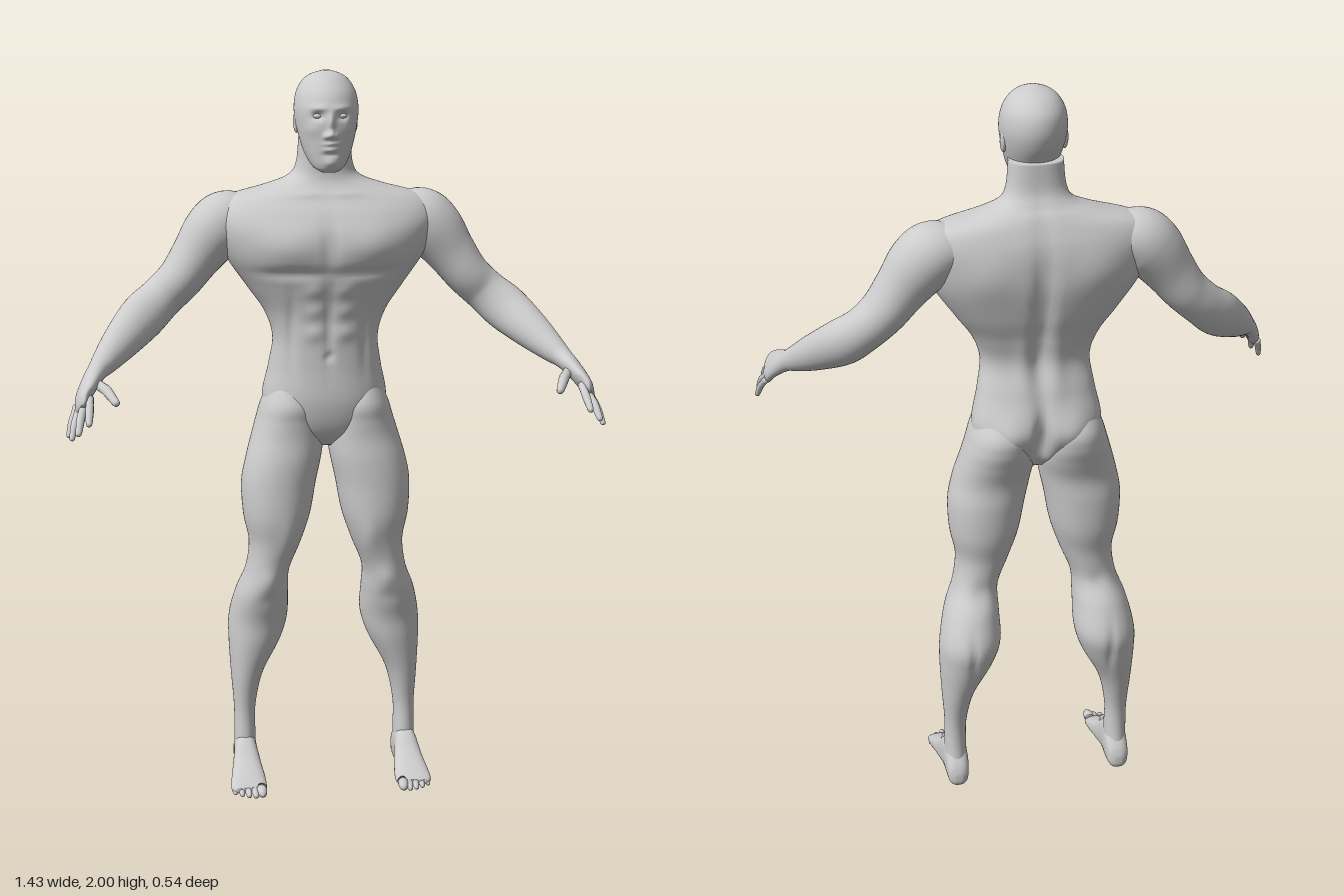
import * as THREE from 'three';

const skin = new THREE.MeshStandardMaterial({ color: 0xcccccc });
skin.name = 'skin';

// Smooth interpolation of key rows, column by column
function sampleRows(rows, t) {
  const n = rows.length - 1;
  const i = Math.min(Math.floor(t), n - 1), f = t - i;
  const at = (k) => rows[Math.max(0, Math.min(n, k))];
  const [a, b, c, d] = [at(i - 1), at(i), at(i + 1), at(i + 2)];
  return b.map((_, k) => b[k] + 0.5 * f * (c[k] - a[k]
    + f * (2 * a[k] - 5 * b[k] + 4 * c[k] - d[k] + f * (3 * (b[k] - c[k]) + d[k] - a[k]))));
}

// Closed skin over interpolated cross-sections; place() gives one ring point
function loft(rows, place, { segs = 40, steps = 6, side = 1 } = {}) {
  const pos = [], index = [], rings = (rows.length - 1) * steps + 1;
  const ends = [new THREE.Vector3(), new THREE.Vector3()];
  for (let r = 0; r < rings; r++) {
    const t = r / steps, row = sampleRows(rows, t);
    const p = sampleRows(rows, Math.max(0, t - 0.05)), q = sampleRows(rows, Math.min(rows.length - 1, t + 0.05));
    const tangent = new THREE.Vector3(q[0] - p[0], q[1] - p[1], q[2] - p[2]).normalize();
    for (let s = 0; s < segs; s++) {
      const a = (s / segs) * Math.PI * 2;
      const v = place(row, Math.cos(a), Math.sin(a), tangent);
      v.x *= side;
      pos.push(v.x, v.y, v.z);
      if (r === 0) ends[0].addScaledVector(v, 1 / segs);
      if (r === rings - 1) ends[1].addScaledVector(v, 1 / segs);
      const s2 = (s + 1) % segs, A = r * segs + s, B = r * segs + s2;
      if (r < rings - 1) index.push(A, B, A + segs, B, B + segs, A + segs);
      if (r === 0) index.push(rings * segs, B, A);
      if (r === rings - 1) index.push(rings * segs + 1, A, B);
    }
  }
  ends.forEach((e) => pos.push(e.x, e.y, e.z));
  // Turn the faces outward if the enclosed volume is negative
  const P = (i) => new THREE.Vector3().fromArray(pos, i * 3);
  let volume = 0;
  for (let i = 0; i < index.length; i += 3) volume += P(index[i]).dot(P(index[i + 1]).cross(P(index[i + 2])));
  if (volume < 0) index.reverse();
  const g = new THREE.BufferGeometry();
  g.setAttribute('position', new THREE.Float32BufferAttribute(pos, 3));
  g.setIndex(index);
  g.computeVertexNormals();
  return g;
}

const spow = (v, e) => Math.sign(v) * Math.abs(v) ** e;

// Upright section [y, xMin, xMax, zFront, zBack] with muscle bumps
// bump: [front 1 / back -1, |x|, y, width, height, amount]
const upright = (bumps, n = 2, mid = 0.5) => ([y, x0, x1, zf, zb], c, s) => {
  const zm = zf * (1 - mid) + zb * mid;
  const x = (x0 + x1) / 2 + ((x1 - x0) / 2) * spow(c, 2 / n);
  let z = zm + (s > 0 ? zf - zm : zm - zb) * spow(s, 2 / n);
  for (const [dir, bx, by, sx, sy, amount] of bumps) {
    const fade = Math.min(1, Math.max(0, s * dir * 2));
    z += dir * fade * amount * Math.exp(-(((Math.abs(x) - bx) / sx) ** 2) - ((y - by) / sy) ** 2);
  }
  return new THREE.Vector3(x, y, z);
};

// Section across a limb path [x, y, z, thickness, width]
const across = ([x, y, z, a, b], c, s, tangent) => {
  const u = new THREE.Vector3().crossVectors(tangent, new THREE.Vector3(0, 0, 1)).normalize();
  const v = new THREE.Vector3().crossVectors(u, tangent);
  return new THREE.Vector3(x, y, z).addScaledVector(u, a * c).addScaledVector(v, b * s);
};

// Foot section [z, xMin, xMax, yBottom, yTop]
const footSection = ([z, x0, x1, y0, y1], c, s) => new THREE.Vector3(
  (x0 + x1) / 2 + ((x1 - x0) / 2) * spow(c, 0.8), (y0 + y1) / 2 + ((y1 - y0) / 2) * spow(s, 0.8), z);

// Rounded finger or toe from base through a joint to the tip
function digit(base, joint, tip, r, side) {
  const A = new THREE.Vector3(...base), B = new THREE.Vector3(...joint), C = new THREE.Vector3(...tip);
  const end = C.clone().sub(B).normalize();
  const row = (v, k) => [v.x, v.y, v.z, r * k, r * k];
  const rows = [row(A, 1), row(A.clone().lerp(B, 0.5), 0.95), row(B, 1), row(B.clone().lerp(C, 0.55), 0.85),
    row(C.clone().addScaledVector(end, -r * 0.4), 0.65), row(C, 0.1)];
  return loft(rows, across, { segs: 12, steps: 3, side });
}

const torsoRows = [
  [0.975, 0.05, -0.09, -0.17], [1.02, 0.14, -0.047, -0.215], [1.1, 0.172, -0.027, -0.245],
  [1.2, 0.155, -0.03, -0.222], [1.28, 0.145, -0.03, -0.2], [1.35, 0.167, -0.026, -0.215],
  [1.42, 0.215, -0.01, -0.24], [1.5, 0.27, 0.012, -0.258], [1.57, 0.3, 0.01, -0.26],
  [1.62, 0.305, -0.012, -0.254], [1.66, 0.27, -0.042, -0.24], [1.69, 0.165, -0.063, -0.225],
  [1.715, 0.1, -0.074, -0.206], [1.75, 0.077, -0.076, -0.19], [1.82, 0.07, -0.07, -0.185],
].map(([y, w, f, b]) => [y, -w, w, f, b]);
const torsoBumps = [
  // chest, breastbone, belly
  [1, 0.11, 1.54, 0.08, 0.05, 0.012], [1, 0.1, 1.468, 0.09, 0.014, -0.009], [1, 0, 1.55, 0.014, 0.07, -0.008],
  [1, 0, 1.33, 0.011, 0.11, -0.007], [1, 0, 1.235, 0.01, 0.011, -0.008],
  ...[1.42, 1.36, 1.3].map((y) => [1, 0.042, y, 0.026, 0.022, 0.006]),
  [1, 0.1, 1.3, 0.014, 0.1, -0.006], [1, 0.05, 1.675, 0.05, 0.01, 0.004],
  // spine, shoulder blades, buttocks
  [-1, 0, 1.42, 0.022, 0.2, -0.02], [-1, 0.14, 1.55, 0.07, 0.06, 0.008], [-1, 0.045, 1.28, 0.025, 0.08, 0.006],
  [-1, 0.085, 1.09, 0.05, 0.06, 0.018], [-1, 0, 1.07, 0.018, 0.07, -0.035],
];

const headRows = [
  [1.737, 0.022, -0.012, -0.05], [1.75, 0.042, -0.002, -0.09], [1.78, 0.06, 0.004, -0.145],
  [1.82, 0.073, 0.007, -0.175], [1.86, 0.082, 0.009, -0.198], [1.9, 0.086, 0.008, -0.209],
  [1.94, 0.08, -0.008, -0.204], [1.97, 0.064, -0.034, -0.182], [1.988, 0.042, -0.058, -0.152], [1.999, 0.01, -0.09, -0.11],
].map(([y, w, f, b]) => [y, -w, w, f, b]);
const headBumps = [
  // nose, brow, eye sockets, cheeks
  [1, 0, 1.87, 0.009, 0.022, 0.011], [1, 0, 1.838, 0.011, 0.011, 0.019], [1, 0.013, 1.834, 0.007, 0.007, 0.009],
  [1, 0.03, 1.907, 0.024, 0.008, 0.005], [1, 0.033, 1.886, 0.015, 0.011, -0.013], [1, 0.05, 1.85, 0.018, 0.018, 0.004],
  // lips and chin
  [1, 0, 1.814, 0.018, 0.006, 0.008], [1, 0, 1.799, 0.017, 0.006, 0.008], [1, 0, 1.785, 0.02, 0.006, -0.004],
  [1, 0, 1.763, 0.02, 0.012, 0.006],
];

const legRows = [
  [1.17, 0.07, 0.14, -0.07, -0.19], [1.1, 0.02, 0.174, -0.032, -0.25], [1.05, 0.008, 0.19, -0.031, -0.255],
  [1.0, 0.004, 0.205, -0.03, -0.24], [0.94, 0.013, 0.222, -0.022, -0.222], [0.87, 0.028, 0.235, -0.018, -0.223],
  [0.78, 0.045, 0.231, -0.016, -0.218], [0.7, 0.072, 0.216, -0.03, -0.2], [0.62, 0.103, 0.226, -0.041, -0.203],
  [0.55, 0.105, 0.252, -0.046, -0.24], [0.47, 0.105, 0.27, -0.07, -0.268], [0.4, 0.126, 0.272, -0.078, -0.255],
  [0.3, 0.177, 0.267, -0.095, -0.223], [0.2, 0.199, 0.26, -0.11, -0.195], [0.12, 0.2, 0.26, -0.107, -0.19],
  [0.05, 0.2, 0.26, -0.1, -0.198],
];
const legBumps = [
  [1, 0.165, 0.6, 0.028, 0.03, 0.008], [1, 0.11, 0.72, 0.03, 0.05, 0.008], [1, 0.17, 0.54, 0.03, 0.02, -0.004],
  [-1, 0.19, 0.44, 0.01, 0.07, -0.007], [-1, 0.16, 0.62, 0.03, 0.03, -0.006],
];

const footRows = [
  [-0.212, 0.22, 0.24, 0.02, 0.045], [-0.2, 0.203, 0.257, 0.004, 0.075], [-0.165, 0.197, 0.262, 0, 0.115],
  [-0.11, 0.197, 0.265, 0.001, 0.118], [-0.06, 0.19, 0.273, 0.003, 0.08], [-0.01, 0.184, 0.281, 0.001, 0.052],
  [0.025, 0.184, 0.283, 0.002, 0.034], [0.04, 0.192, 0.272, 0.008, 0.024],
];

const armRows = [
  [0.18, 1.605, -0.155, 0.045, 0.06], [0.255, 1.598, -0.155, 0.08, 0.082], [0.3, 1.565, -0.15, 0.083, 0.084],
  [0.35, 1.5, -0.145, 0.069, 0.073], [0.395, 1.44, -0.14, 0.061, 0.07], [0.445, 1.392, -0.133, 0.059, 0.058],
  [0.5, 1.345, -0.1, 0.063, 0.054], [0.56, 1.293, -0.03, 0.051, 0.046], [0.605, 1.253, 0.03, 0.036, 0.035],
  [0.626, 1.235, 0.062, 0.027, 0.03], [0.645, 1.214, 0.1, 0.023, 0.037], [0.664, 1.186, 0.145, 0.019, 0.045],
  [0.673, 1.163, 0.175, 0.013, 0.04], [0.676, 1.156, 0.184, 0.005, 0.028],
];
const fingers = [
  ['thumb', [0.632, 1.21, 0.1], [0.606, 1.203, 0.16], [0.58, 1.178, 0.222], 0.014],
  ['indexFinger', [0.65, 1.187, 0.175], [0.652, 1.163, 0.225], [0.655, 1.135, 0.27], 0.011],
  ['middleFinger', [0.664, 1.172, 0.165], [0.675, 1.143, 0.222], [0.683, 1.108, 0.262], 0.011],
  ['ringFinger', [0.677, 1.16, 0.15], [0.69, 1.126, 0.196], [0.7, 1.088, 0.228], 0.01],
  ['littleFinger', [0.685, 1.155, 0.125], [0.698, 1.122, 0.158], [0.708, 1.085, 0.18], 0.009],
];

export function createModel() {
  const model = new THREE.Group();
  model.name = 'figure';
  const add = (name, geometry) => {
    const mesh = new THREE.Mesh(geometry, skin);
    mesh.name = name;
    model.add(mesh);
    return mesh;
  };

  add('torso', loft(torsoRows, upright(torsoBumps, 2.3, 0.58), { segs: 120, steps: 9 }));
  add('head', loft(headRows, upright(headBumps), { segs: 144, steps: 12 }));

  for (const [label, side] of [['left', 1], ['right', -1]]) {
    add(label + 'Leg', loft(legRows, upright(legBumps, 2.1), { segs: 56, side }));
    add(label + 'Foot', loft(footRows, footSection, { segs: 32, side }));
    add(label + 'Arm', loft(armRows, across, { segs: 40, side }));
    for (const [name, base, joint, tip, r] of fingers) add(label + '_' + name, digit(base, joint, tip, r, side));

    // Toes shrink from the inner big toe outward
    for (let i = 0; i < 5; i++) {
      const x = 0.2 + i * 0.0185, r = i ? 0.0105 - i * 0.0005 : 0.0145, z = 0.078 - i * i * 0.0022;
      add(label + 'Toe' + (i + 1), digit([x, 0.02, 0], [x, r + 0.005, z - 0.03], [x - 0.001, r, z], r, side));
    }

    // Eyes and ears
    const eye = add(label + 'Eye', new THREE.SphereGeometry(0.012, 20, 14));
    eye.position.set(0.033 * side, 1.886, -0.014);
    eye.scale.y = 0.6;
    const ear = add(label + 'Ear', new THREE.SphereGeometry(1, 20, 14));
    ear.position.set(0.078 * side, 1.862, -0.115);
    ear.scale.set(0.009, 0.03, 0.016);
    ear.rotation.x = -0.2;
  }
  return model;
}
